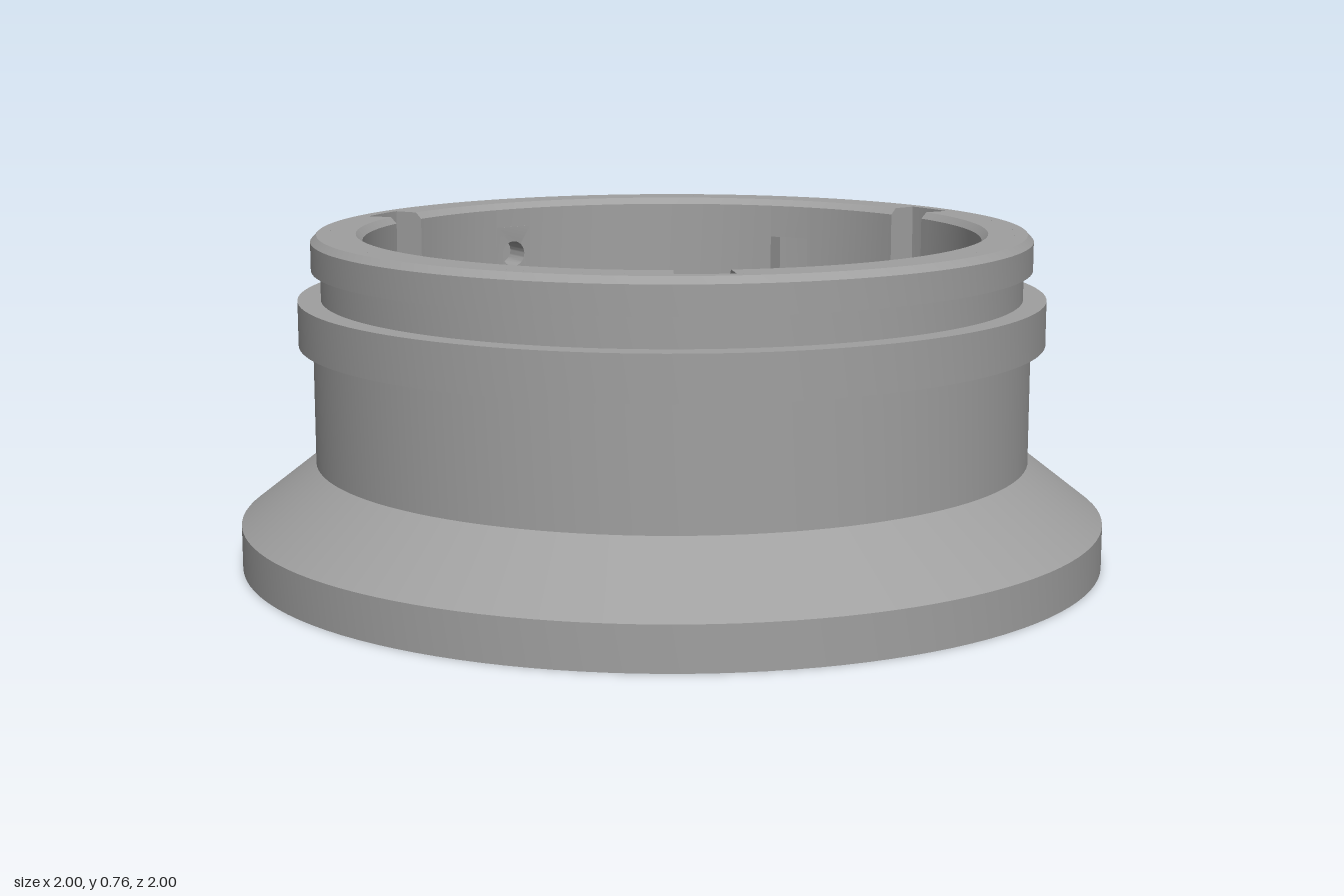
import * as THREE from 'three';
import { toCreasedNormals } from 'three/addons/utils/BufferGeometryUtils.js';

const RAD = Math.PI / 180;
const BORE = 0.71, BACK = 0.785;       // bore radius and slot depth radius
const LEDGE = 0.465, TOP = 0.76;       // bottom of the slots, top of the ring
const CHANNEL_TOP = 0.533, POCKET_TOP = 0.665;

const vec = (pairs) => pairs.map(([x, y]) => new THREE.Vector2(x, y));

// Move every vertex by a rule (x, y, z) -> [x, y, z]
function bend(geometry, rule) {
  const p = geometry.attributes.position;
  for (let i = 0; i < p.count; i++) p.setXYZ(i, ...rule(p.getX(i), p.getY(i), p.getZ(i)));
  return toCreasedNormals(geometry, 0.5);
}

// Curved block of the bore wall between two angles (degrees), from y0 to the chamfered top
function wallBlock(from, to, y0) {
  const profile = new THREE.Shape(vec([
    [BORE, y0], [BACK, y0], [BACK, TOP], [BORE + 0.015, TOP], [BORE, TOP - 0.015],
  ]));
  const span = to - from;
  const geometry = new THREE.ExtrudeGeometry(profile, {
    depth: span * RAD, steps: Math.ceil(span / 3), bevelEnabled: false,
  });
  return bend(geometry, (r, y, z) => {
    const a = z - to * RAD;
    return [r * Math.cos(a), y, r * Math.sin(a)];
  });
}

// Piece of the bore wall pierced by a small round pin hole
function holedBlock(from, to, y0, y1, holeY, holeR) {
  const a0 = from * RAD, a1 = to * RAD;
  const sheet = new THREE.Shape(vec([[a0, y0], [a1, y0], [a1, y1], [a0, y1]]));
  const hole = new THREE.Path();
  hole.absellipse((a0 + a1) / 2, holeY, holeR / BORE, holeR, 0, Math.PI * 2, true);
  sheet.holes.push(hole);
  const geometry = new THREE.ExtrudeGeometry(sheet, {
    depth: BACK - BORE, curveSegments: 24, bevelEnabled: false,
  });
  return bend(geometry, (a, y, z) => {
    const r = BORE + z;
    return [r * Math.cos(a), y, -r * Math.sin(a)];
  });
}

export function createModel() {
  const model = new THREE.Group();
  model.name = 'bayonetAdapterRing';
  const grey = new THREE.MeshStandardMaterial({ color: 0xa0a0a0 });
  grey.name = 'plain grey';

  const add = (name, geometry) => {
    const mesh = new THREE.Mesh(geometry, grey);
    mesh.name = name;
    model.add(mesh);
  };

  // Flared skirt, collar, groove, floor plate and slot ledge in one turned profile
  const profile = vec([
    [1, 0], [1, 0.1], [0.827, 0.235], [0.827, 0.51], [0.86, 0.51], [0.86, 0.612],
    [0.807, 0.612], [0.807, 0.68], [0.828, 0.68], [0.828, 0.745], [0.814, TOP],
    [BACK, TOP], [BACK, LEDGE], [BORE, LEDGE], [BORE, 0.165], [0.56, 0.165],
    [0.577, 0.125], [0.82, 0.125], [1, 0],
  ]);
  add('flangedBody', toCreasedNormals(new THREE.LatheGeometry(profile, 120), 0.5));

  // Three J-shaped bayonet slots: entry, channel along the ledge, pocket going up
  const half = 4.6, pocketStart = 25.8, pocketEnd = 34;
  for (let i = 0; i < 3; i++) {
    const c = i * 120;
    const next = c + 120 - half;
    add('wallAboveChannel', wallBlock(c + half, c + pocketStart, CHANNEL_TOP));
    add('wallAbovePocket', wallBlock(c + pocketStart, c + pocketEnd, POCKET_TOP));
    if (i > 0) {
      add('boreWall', wallBlock(c + pocketEnd, next, LEDGE));
      continue;
    }
    // This stretch carries the pin hole at the back
    add('boreWall', wallBlock(c + pocketEnd, 86, LEDGE));
    add('pinHoleWall', holedBlock(86, 94, LEDGE, 0.7, 0.63, 0.032));
    add('wallAbovePinHole', wallBlock(86, 94, 0.7));
    add('boreWall', wallBlock(94, next, LEDGE));
  }
  return model;
}
